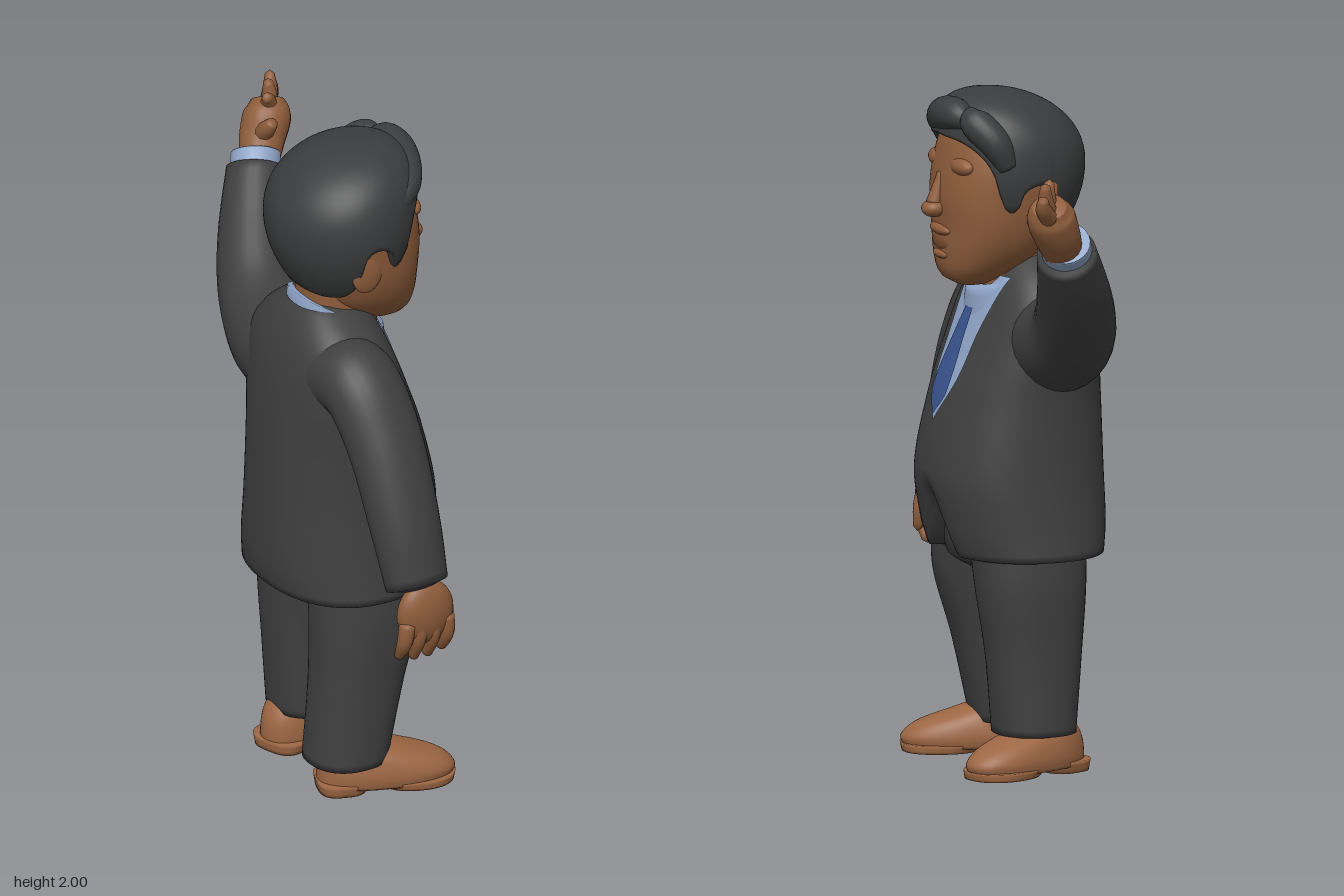
import * as THREE from 'three';
import { mergeVertices } from 'three/addons/utils/BufferGeometryUtils.js';

const material = (name, color, side = THREE.FrontSide) => {
  const m = new THREE.MeshStandardMaterial({ color, side });
  m.name = name;
  return m;
};
const CZ = 0.105; // centre line of the body

// Smooth interpolation of rows [key, ...values] at a key
function sample(rows, key) {
  const n = rows.length - 1;
  let i = 0;
  while (i < n - 1 && key > rows[i + 1][0]) i++;
  const slope = (j, c) => {
    const a = rows[Math.max(j - 1, 0)], b = rows[Math.min(j + 1, n)];
    return (b[c] - a[c]) / (b[0] - a[0]);
  };
  const h = rows[i + 1][0] - rows[i][0];
  const t = THREE.MathUtils.clamp((key - rows[i][0]) / h, 0, 1), t2 = t * t, t3 = t2 * t;
  return rows[i].map((p, c) => (2 * t3 - 3 * t2 + 1) * p + (t3 - 2 * t2 + t) * h * slope(i, c)
    + (3 * t2 - 2 * t3) * rows[i + 1][c] + (t3 - t2) * h * slope(i + 1, c));
}

// Surface from a rule at(column, row) that returns [x, y, z]
function grid(cols, rows, at) {
  const pos = [], index = [];
  for (let j = 0; j <= rows; j++) for (let i = 0; i <= cols; i++) pos.push(...at(i, j));
  for (let j = 0; j < rows; j++) for (let i = 0; i < cols; i++) {
    const a = j * (cols + 1) + i, d = a + cols + 1;
    index.push(a, a + 1, d, a + 1, d + 1, d);
  }
  const g = new THREE.BufferGeometry();
  g.setAttribute('position', new THREE.Float32BufferAttribute(pos, 3));
  g.setIndex(index);
  const merged = mergeVertices(g, 1e-5);
  merged.computeVertexNormals();
  return merged;
}

const signedPow = (v, e) => Math.sign(v) * Math.abs(v) ** e;

// Closed upright form from sections [y, x0, x1, z0, z1]
function loft(sections, { p = 2.3, rows = 28, cols = 48, lift = () => 0 } = {}) {
  const y0 = sections[0][0], y1 = sections[sections.length - 1][0];
  return grid(cols, rows + 2, (i, j) => {
    const k = THREE.MathUtils.clamp((j - 1) / rows, 0, 1);
    const [y, x0, x1, z0, z1] = sample(sections, y0 + (y1 - y0) * k);
    const a = -2 * Math.PI * (i % cols) / cols, s = j === 0 || j === rows + 2 ? 0 : 0.5;
    const x = (x0 + x1) / 2 + s * (x1 - x0) * signedPow(Math.cos(a), 2 / p);
    const z = (z0 + z1) / 2 + s * (z1 - z0) * signedPow(Math.sin(a), 2 / p);
    return [x, y + lift(x, y, z), z];
  });
}

// Tapered limb through points [x, y, z, radius], with closed ends
function limb(points, flatZ = 1, steps = 24, sides = 20) {
  const rows = points.map((q, i) => [i, ...q]);
  const at = (t) => sample(rows, t * (points.length - 1));
  const curve = new THREE.Curve();
  curve.getPoint = (t) => new THREE.Vector3(...at(t).slice(1, 4));
  curve.getPointAt = curve.getPoint;
  curve.getTangentAt = curve.getTangent;
  const tube = new THREE.TubeGeometry(curve, steps, 1, sides, false);
  const pos = tube.attributes.position;
  for (let v = 0; v < pos.count; v++) {
    const ring = Math.floor(v / (sides + 1));
    const [, x, y, z, r] = at(ring / steps);
    const s = ring === 0 || ring === steps ? 0 : r;
    pos.setXYZ(v, x + (pos.getX(v) - x) * s, y + (pos.getY(v) - y) * s, z + (pos.getZ(v) - z) * s * flatZ);
  }
  tube.deleteAttribute('uv');
  tube.deleteAttribute('normal');
  const g = mergeVertices(tube, 1e-5);
  g.computeVertexNormals();
  return g;
}

const blob = (x, y, z, rx, ry, rz) => new THREE.SphereGeometry(1, 28, 18).scale(rx, ry, rz).translate(x, y, z);
const section = (y, x0, x1, half) => [y, x0, x1, CZ - half, CZ + half];

const JACKET = [
  section(0.64, -0.258, 0.212, 0.305), section(0.72, -0.268, 0.24, 0.295), section(0.88, -0.265, 0.263, 0.282),
  section(1.1, -0.255, 0.215, 0.275), section(1.25, -0.243, 0.158, 0.283), section(1.37, -0.225, 0.108, 0.275),
  section(1.45, -0.2, 0.075, 0.215), section(1.5, -0.17, 0.045, 0.15), section(1.53, -0.145, 0.02, 0.1),
];

// Thin plate lying on the chest, with a half width for each height
function chestPlate(y0, y1, half, off) {
  return grid(12, 30, (i, j) => {
    const y = y0 + (y1 - y0) * j / 30;
    const dz = half(y) * (1 - i / 6);
    const [, x0, x1, z0, z1] = sample(JACKET, y);
    const q = Math.min(Math.abs(dz) / ((z1 - z0) / 2), 1);
    return [(x0 + x1) / 2 + (x1 - x0) / 2 * (1 - q ** 2.3) ** (1 / 2.3) + off, y, CZ + dz];
  });
}

// Hair cap: a shell leaning forward, whose lower edge follows a hairline by angle from the front
const HAIRLINE = [[0, 1.88], [0.6, 1.86], [0.95, 1.79], [1.1, 1.68], [1.28, 1.67], [1.4, 1.73],
  [1.75, 1.73], [1.88, 1.61], [2.3, 1.57], [Math.PI, 1.59]];
function hairCap() {
  const rows = 26, cols = 96;
  return grid(cols, rows, (i, j) => {
    const a = -Math.PI + 2 * Math.PI * (cols - i % cols) / cols;
    const low = sample(HAIRLINE, Math.min(Math.abs(a), Math.PI))[1];
    const k = Math.max(j - 1, 0) / (rows - 1), y = low + (2 - low) * Math.sin(k * Math.PI / 2);
    const up = Math.min(Math.max(y - 1.78, 0) / 0.22, 1), down = Math.max(1.78 - y, 0) / 0.18;
    let r = (1 - up ** 2.4) ** (1 / 2.4) * (1 - 0.25 * down * down);
    if (j === 0) r *= 0.8;
    return [0.002 + 0.065 * up * up + 0.223 * r * Math.cos(a), y, CZ + 0.235 * r * Math.sin(a)];
  });
}

export function createModel() {
  const suit = material('suit charcoal', 0x3f3f3f);
  const hair = material('hair black', 0x3b3c3d);
  const skin = material('skin brown', 0x8f5d3b);
  const mouthColor = material('mouth brown', 0x7a4c2f);
  const leather = material('shoe brown', 0x9c6643);
  const shirtColor = material('shirt blue', 0x8ea4c6, THREE.DoubleSide);
  const tieColor = material('tie blue', 0x3a5490);
  const model = new THREE.Group();
  const add = (name, geometry, mat, parent = model) => {
    const mesh = new THREE.Mesh(geometry, mat);
    mesh.name = name;
    parent.add(mesh);
    return mesh;
  };

  // Jacket, with the front hem cut up into a notch
  add('jacket', loft(JACKET, {
    rows: 44, cols: 80,
    lift: (x, y, z) => (x > 0.08 ? 0.15 * Math.max(0, 1 - Math.abs(z - CZ) / 0.1) * Math.max(0, 1 - (y - 0.64) / 0.25) : 0),
  }), suit);

  // Shirt front and tie
  const opening = (y) => sample([[1.03, 0], [1.15, 0.072], [1.3, 0.095], [1.46, 0.135]], y)[1];
  add('shirtFront', chestPlate(1.03, 1.46, opening, 0.005), shirtColor);
  const tieWidth = (y) => sample([[1.045, 0], [1.12, 0.05], [1.3, 0.033], [1.37, 0.024], [1.41, 0.03]], y)[1];
  add('tie', chestPlate(1.045, 1.41, tieWidth, 0.011), tieColor);

  // Collar sloping down to the front, and neck
  const slope = (x) => -0.5 * x;
  add('collar', loft([section(1.38, -0.165, 0.13, 0.15), section(1.475, -0.15, 0.118, 0.132)],
    { rows: 4, lift: slope }), shirtColor);
  add('neck', loft([section(1.38, -0.13, 0.1, 0.115), section(1.62, -0.125, 0.1, 0.125)], { rows: 6 }), skin);

  // Head
  add('head', loft([
    section(1.43, 0.08, 0.165, 0.05), section(1.455, 0.02, 0.205, 0.095), section(1.52, -0.08, 0.22, 0.15),
    section(1.6, -0.12, 0.221, 0.185), section(1.7, -0.16, 0.226, 0.2), section(1.8, -0.18, 0.212, 0.2),
    section(1.9, -0.15, 0.18, 0.165), section(1.96, -0.06, 0.12, 0.09),
  ]), skin);
  add('nose', blob(0.237, 1.657, CZ, 0.036, 0.026, 0.036), skin);
  add('noseBridge', limb([[0.205, 1.77, CZ, 0.015], [0.224, 1.71, CZ, 0.02], [0.24, 1.66, CZ, 0.025]], 1, 10, 12), skin);
  add('upperLip', blob(0.212, 1.595, CZ, 0.024, 0.018, 0.065), skin);
  add('mouth', blob(0.211, 1.557, CZ, 0.015, 0.027, 0.058), mouthColor);
  add('lowerLip', blob(0.21, 1.522, CZ, 0.02, 0.015, 0.05), skin);
  for (const s of [1, -1]) {
    const side = s > 0 ? 'left' : 'right';
    add(side + 'Ear', blob(-0.02, 1.66, CZ + s * 0.188, 0.05, 0.062, 0.016), skin);
    add(side + 'Brow', blob(0.178, 1.79, CZ + s * 0.08, 0.033, 0.03, 0.06), skin);
  }

  // Hair with swept fringe
  add('hair', hairCap(), hair);
  add('fringe', limb([[0.06, 1.84, 0.3, 0.025], [0.14, 1.885, 0.24, 0.045], [0.185, 1.925, 0.14, 0.052],
    [0.19, 1.94, 0.05, 0.048], [0.17, 1.925, -0.01, 0.025]], 1, 32), hair);
  add('sideFringe', limb([[0.17, 1.965, 0.0, 0.012], [0.165, 1.93, -0.03, 0.045], [0.12, 1.87, -0.08, 0.045],
    [0.08, 1.79, -0.09, 0.03]]), hair);

  // Trousers
  add('hips', loft([[0.575, -0.06, 0.09, 0.05, 0.16], [0.62, -0.17, 0.165, -0.1, 0.31], [0.82, -0.2, 0.19, -0.16, 0.37]]), suit);
  add('leftLeg', loft([[0.1, -0.2, 0.04, 0.145, 0.39], [0.35, -0.18, 0.1, 0.14, 0.39],
    [0.55, -0.175, 0.16, 0.125, 0.395], [0.7, -0.17, 0.17, 0.1, 0.385]]), suit);
  add('rightLeg', loft([[0.12, -0.13, 0.11, -0.18, 0.065], [0.35, -0.15, 0.13, -0.178, 0.07],
    [0.55, -0.165, 0.16, -0.185, 0.085], [0.7, -0.17, 0.17, -0.175, 0.11]]), suit);

  // Shoes, toes turned out
  for (const s of [1, -1]) {
    const shoe = new THREE.Group();
    shoe.name = s > 0 ? 'leftShoe' : 'rightShoe';
    add('upper', loft([[0.02, -0.2, 0.2, -0.092, 0.092], [0.05, -0.2, 0.208, -0.097, 0.097],
      [0.09, -0.195, 0.16, -0.09, 0.09], [0.125, -0.18, 0.06, -0.075, 0.075], [0.15, -0.16, -0.01, -0.05, 0.05]],
    { rows: 14 }), leather, shoe);
    add('sole', loft([[0.006, -0.02, 0.205, -0.094, 0.094], [0.03, -0.05, 0.21, -0.098, 0.098]], { rows: 3 }), leather, shoe);
    add('heel', loft([[0, -0.2, -0.06, -0.08, 0.08], [0.035, -0.205, -0.04, -0.088, 0.088]], { rows: 3, p: 3 }), leather, shoe);
    shoe.position.set(0.03, 0, CZ + s * 0.2);
    shoe.rotation.y = -s * 0.31;
    model.add(shoe);
  }

  // Lowered left arm and hand
  add('leftSleeve', limb([[-0.09, 1.34, 0.22, 0.12], [-0.08, 1.335, 0.36, 0.12], [-0.06, 1.19, 0.465, 0.116],
    [-0.05, 0.97, 0.56, 0.108], [-0.04, 0.77, 0.62, 0.095]], 0.76, 32, 28), suit);
  add('leftPalm', blob(-0.025, 0.71, 0.632, 0.092, 0.1, 0.045), skin);
  for (let f = 0; f < 4; f++) {
    const x = -0.1 + f * 0.047, y = 0.565 - 0.018 * Math.sin(f);
    add('leftFinger', limb([[x * 0.9, 0.7, 0.645, 0.025], [x, 0.63, 0.643, 0.023], [x, y, 0.605, 0.013]], 1, 12, 12), skin);
  }
  add('leftThumb', limb([[0.03, 0.74, 0.62, 0.028], [0.065, 0.68, 0.595, 0.024], [0.075, 0.6, 0.6, 0.013]], 1, 12, 12), skin);

  // Raised right arm and hand
  add('rightSleeve', limb([[-0.08, 1.27, 0.04, 0.14], [-0.065, 1.28, -0.12, 0.15], [-0.045, 1.35, -0.27, 0.125],
    [0.01, 1.475, -0.4, 0.108], [0.095, 1.645, -0.535, 0.084]], 1, 36, 28), suit);
  add('rightCuff', limb([[0.08, 1.62, -0.515, 0.074], [0.094, 1.648, -0.537, 0.074], [0.1, 1.66, -0.547, 0.072]], 1, 12, 24), shirtColor);
  add('rightPalm', limb([[0.1, 1.63, -0.53, 0.058], [0.135, 1.69, -0.568, 0.068], [0.165, 1.75, -0.59, 0.07],
    [0.18, 1.79, -0.615, 0.045]]), skin);
  const tips = [[0.13, 1.84, -0.535], [0.17, 1.862, -0.595], [0.205, 1.86, -0.645], [0.225, 1.825, -0.678]];
  tips.forEach(([x, y, z], f) => add('rightFinger', limb([
    [0.15 + f * 0.01, 1.745, -0.57 - f * 0.018, 0.026],
    [0.155 + f * 0.02, 1.8 - (f === 3 ? 0.015 : 0), -0.565 - f * 0.03, 0.024], [x, y, z, 0.012]], 1, 12, 12), skin));
  add('rightThumb', limb([[0.12, 1.7, -0.56, 0.03], [0.12, 1.75, -0.51, 0.025], [0.125, 1.78, -0.485, 0.014]], 1, 12, 12), skin);

  return model;
}
